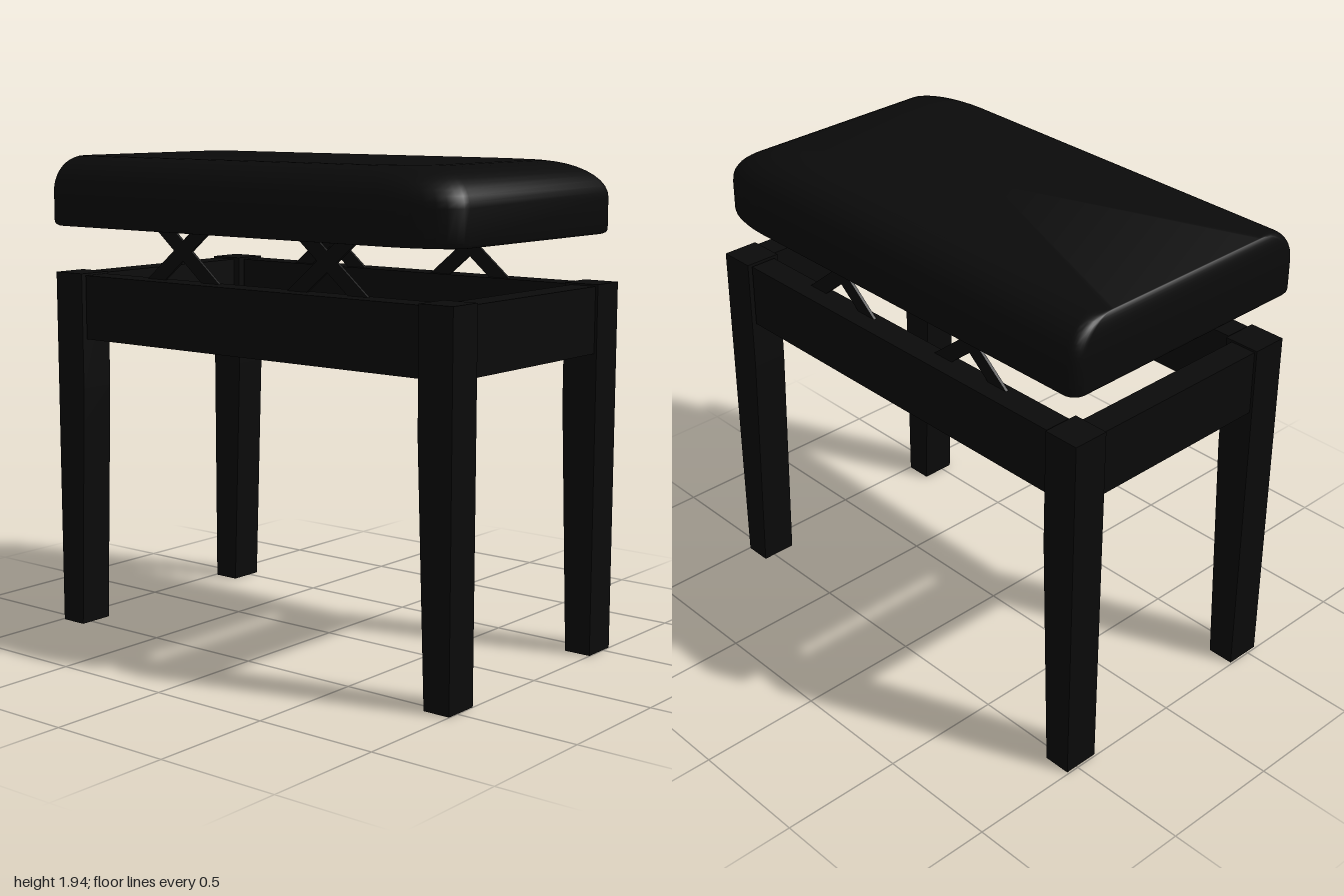
import * as THREE from 'three';
import { toCreasedNormals } from 'three/addons/utils/BufferGeometryUtils.js';

const black = new THREE.MeshStandardMaterial({ color: 0x0a0a0a });

function add(group, name, geometry, x = 0, y = 0, z = 0) {
  const mesh = new THREE.Mesh(geometry, black);
  mesh.name = name;
  mesh.position.set(x, y, z);
  group.add(mesh);
  return mesh;
}

// Horizontal outline of the cushion: tight corners at -x, long soft corners at +x
function cushionRing(y, insetLeft, insetRight, insetZ) {
  const x0 = -1 + insetLeft, x1 = 0.995 - insetRight, hz = 0.573 - insetZ;
  const corners = [
    [x1, hz, 1, 1, 0.28, 0.12], [x0, hz, -1, 1, 0.05, 0.05],
    [x0, -hz, -1, -1, 0.05, 0.05], [x1, -hz, 1, -1, 0.28, 0.12],
  ];
  const steps = 8, ring = [];
  corners.forEach(([cx, cz, sx, sz, rx, rz], c) => {
    for (let i = 0; i <= steps; i++) {
      const a = (c + i / steps) * Math.PI / 2;
      ring.push([cx - sx * rx + rx * Math.cos(a), y, cz - sz * rz + rz * Math.sin(a)]);
    }
  });
  return ring;
}

// Cushion lofted upward through its outlines and closed at both ends
function cushionGeometry() {
  const rings = [];
  for (let i = 0; i <= 4; i++) {
    const a = i / 4 * Math.PI / 2, inset = 0.02 * (1 - Math.sin(a));
    rings.push(cushionRing(1.68 - 0.02 * Math.cos(a), inset, inset, inset));
  }
  for (let i = 0; i <= 10; i++) {
    const a = i / 10 * Math.PI / 2, k = 1 - Math.cos(a);
    rings.push(cushionRing(1.8 + 0.14 * Math.sin(a), 0.02 * k, 0.25 * k, 0.15 * k));
  }
  const n = rings[0].length, points = rings.flat(), index = [];
  for (let r = 0; r < rings.length - 1; r++) {
    for (let i = 0; i < n; i++) {
      const a = r * n + i, b = r * n + (i + 1) % n;
      index.push(a, a + n, b, b, a + n, b + n);
    }
  }
  const last = (rings.length - 1) * n, low = points.length, high = low + 1;
  points.push([0, 1.66, 0], [0, 1.94, 0]);
  for (let i = 0; i < n; i++) {
    const j = (i + 1) % n;
    index.push(low, i, j, high, last + j, last + i);
  }
  const geometry = new THREE.BufferGeometry();
  geometry.setAttribute('position', new THREE.Float32BufferAttribute(points.flat(), 3));
  geometry.setIndex(index);
  return toCreasedNormals(geometry, 0.7);
}

// Leg with a straight outer face and a tapering inner face
function legGeometry(side) {
  const profile = [[0.995, 0], [0.995, 1.47], [0.847, 1.47], [0.847, 1], [0.852, 0.86], [0.883, 0]];
  const shape = new THREE.Shape(profile.map(([x, y]) => new THREE.Vector2(side * x, y)));
  return new THREE.ExtrudeGeometry(shape, { depth: 0.148, bevelEnabled: false });
}

export function createModel() {
  const group = new THREE.Group();
  group.name = 'adjustableBench';

  add(group, 'cushion', cushionGeometry());

  for (const side of [-1, 1]) {
    // Legs
    for (const z of [0.401, -0.549]) add(group, 'leg', legGeometry(side), 0.003, 0, z);

    // Frame rails
    add(group, 'longRail', new THREE.BoxGeometry(1.676, 0.26, 0.11), 0.003, 1.333, side * 0.48);
    add(group, 'endRail', new THREE.BoxGeometry(0.11, 0.26, 0.8), side * 0.93 + 0.003, 1.333, 0);

    // Crossed lifting bars
    for (const x of [-0.363, 0.365]) {
      for (const tilt of [-1, 1]) {
        const bar = add(group, 'scissorBar', new THREE.BoxGeometry(0.46, 0.06, 0.012), x, 1.582, side * 0.455);
        bar.rotation.z = tilt * 0.69;
      }
    }
  }
  return group;
}
